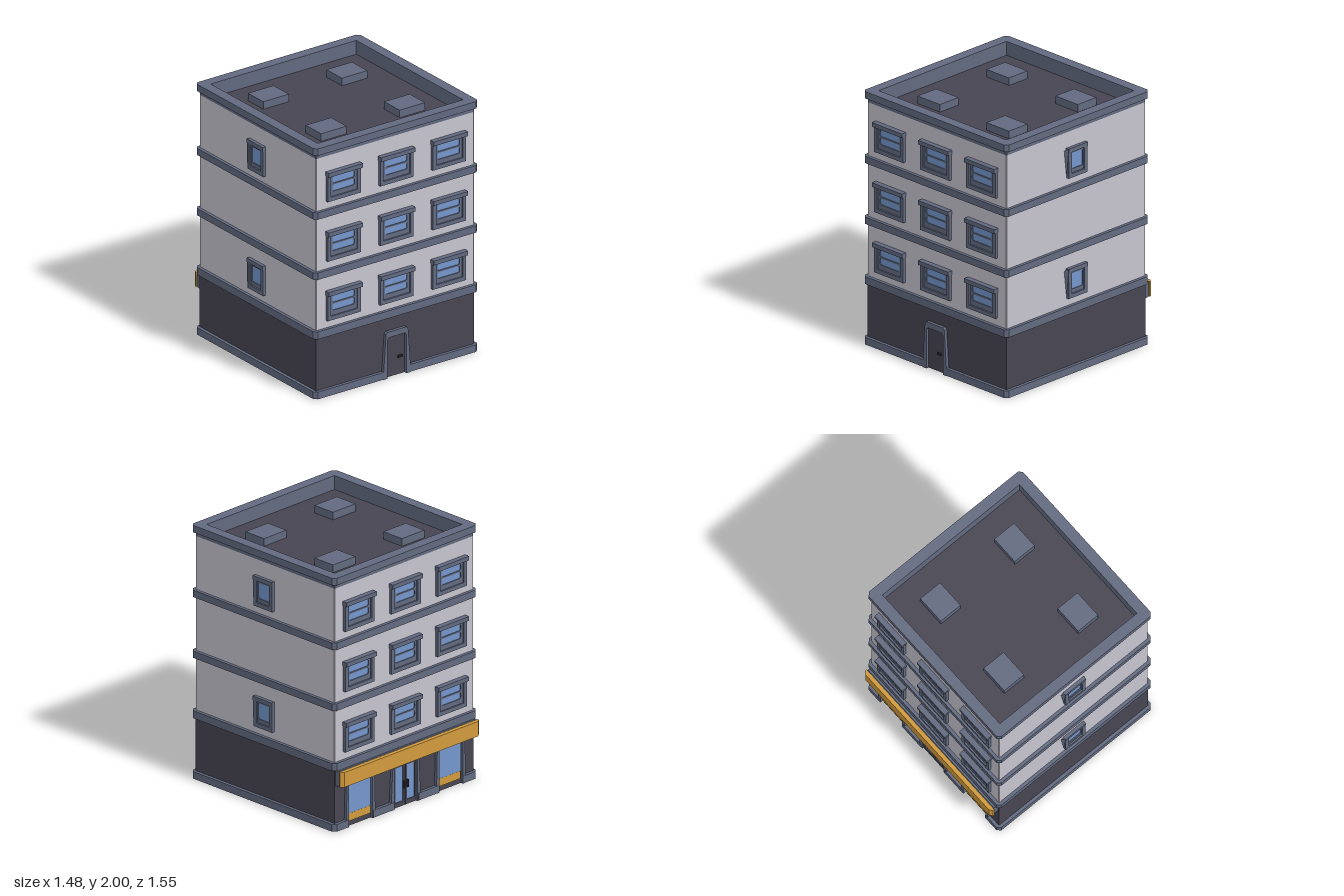
import * as THREE from 'three';

const material = (name, color) => {
  const m = new THREE.MeshStandardMaterial({ color });
  m.name = name;
  return m;
};

export function createModel() {
  const wall = material('pale wall', 0xc6c4ce);
  const dark = material('charcoal', 0x474551);
  const trim = material('slate trim', 0x626a80);
  const glass = material('blue glass', 0x7496cc);
  const amber = material('amber', 0xd09a3c);
  const ink = material('handle black', 0x2a2932);

  const HX = 0.715, HZ = 0.715, CZ = 0.015; // wall half sizes and centre
  const model = new THREE.Group();
  model.name = 'apartmentBuilding';

  const add = (parent, name, geo, mat, x = 0, y = 0, z = 0) => {
    const mesh = new THREE.Mesh(geo, mat);
    mesh.name = name;
    mesh.position.set(x, y, z);
    parent.add(mesh);
    return mesh;
  };
  // Box given by its ranges
  const box = (parent, name, mat, x0, x1, y0, y1, z0, z1) =>
    add(parent, name, new THREE.BoxGeometry(x1 - x0, y1 - y0, z1 - z0), mat,
      (x0 + x1) / 2, (y0 + y1) / 2, (z0 + z1) / 2);
  const polygon = (pts) => new THREE.Shape(pts.map(([x, y]) => new THREE.Vector2(x, y)));
  const extrude = (shape, depth) =>
    new THREE.ExtrudeGeometry(shape, { depth, bevelEnabled: false, curveSegments: 3 });
  const rect = (w, y0, y1) => polygon([[-w, y0], [w, y0], [w, y1], [-w, y1]]);
  const roundRect = (w, y0, y1, r) => {
    const s = new THREE.Shape();
    s.moveTo(-w + r, y0);
    s.lineTo(w - r, y0).quadraticCurveTo(w, y0, w, y0 + r);
    s.lineTo(w, y1 - r).quadraticCurveTo(w, y1, w - r, y1);
    s.lineTo(-w + r, y1).quadraticCurveTo(-w, y1, -w, y1 - r);
    s.lineTo(-w, y0 + r).quadraticCurveTo(-w, y0, -w + r, y0);
    return s;
  };

  // Plan outline with chamfered corners, notched for doorways on front and back
  const plan = (out, c, front = [], back = []) => {
    const x = HX + out, z = HZ + out, n = HZ - 0.005, pts = [[-x, -z + c], [-x + c, -z]];
    for (const [a, b] of front) pts.push([a, -z], [a, -n], [b, -n], [b, -z]);
    pts.push([x - c, -z], [x, -z + c], [x, z - c], [x - c, z]);
    for (const [a, b] of back) pts.push([b, z], [b, n], [a, n], [a, z]);
    pts.push([-x + c, z], [-x, z - c]);
    return polygon(pts);
  };
  const slab = (name, mat, shape, y0, y1, inset) => {
    if (inset) shape.holes.push(rect(HX - inset, -HZ + inset, HZ - inset));
    const geo = extrude(shape, y1 - y0).rotateX(-Math.PI / 2);
    return add(model, name, geo, mat, 0, y0, CZ);
  };

  // Main volumes, floor bands and parapet
  box(model, 'groundFloor', dark, -HX, HX, 0, 0.5, CZ - HZ, CZ + HZ);
  slab('upperWalls', wall, plan(0, 0.004), 0.5, 1.91, 0.025);
  slab('baseBand', trim, plan(0.025, 0.025, [[-0.09, 0.09]],
    [[0.34, 0.59], [-0.13, 0.13], [-0.59, -0.34]]), 0.003, 0.06);
  for (const [a, b] of [[0.48, 0.54], [0.955, 1.01], [1.435, 1.49]])
    slab('floorBand', trim, plan(0.025, 0.025), a, b, 0.01);
  slab('parapetLiner', trim, plan(-0.025, 0.004), 1.86, 1.91, 0.058);
  slab('parapetStrip', trim, plan(0.001, 0.004), 1.91, 1.945, 0.058);
  slab('parapetCap', trim, plan(0.025, 0.025), 1.945, 2, 0.058);
  slab('roofFloor', dark, plan(-0.03, 0.004), 1.86, 1.89);
  for (const x of [-0.355, 0.355])
    for (const z of [-0.345, 0.365])
      box(model, 'roofVent', trim, x - 0.115, x + 0.115, 1.88, 1.95, z - 0.095, z + 0.095);

  // Window facing +z, standing on its own lower edge
  const makeWindow = (half, panes, paneHalf) => {
    const g = new THREE.Group();
    g.name = 'window';
    const outer = rect(half, 0, 0.21);
    outer.holes.push(rect(half - 0.03, 0.032, 0.202));
    add(g, 'windowFrame', extrude(outer, 0.024), trim);
    const inner = rect(half - 0.03, 0.032, 0.202);
    for (const [a, b] of panes) inner.holes.push(roundRect(paneHalf, a, b, 0.016));
    add(g, 'sash', extrude(inner, 0.012), trim);
    box(g, 'windowGlass', glass, -paneHalf - 0.005, paneHalf + 0.005, 0.05, 0.195, 0, 0.005);
    return g;
  };
  const floors = [0.6, 1.075, 1.55];
  for (const y of floors)
    for (const x of [-0.475, 0, 0.475])
      for (const side of [1, -1]) {
        const w = makeWindow(0.15, [[0.07, 0.122], [0.133, 0.185]], 0.1);
        box(w, 'lintel', trim, -0.155, 0.155, 0.203, 0.236, 0, 0.042);
        w.position.set(x, y, CZ + side * HZ);
        if (side < 0) w.rotation.y = Math.PI;
        model.add(w);
      }

  // Side windows with one slanted cheek
  for (const y of [floors[0], floors[2]])
    for (const side of [1, -1]) {
      const w = makeWindow(0.095, [[0.062, 0.187]], 0.06);
      box(w, 'lintel', trim, -0.1, 0.097, 0.203, 0.236, 0, 0.027);
      const cheek = extrude(polygon([[-0.09, 0], [-0.09, 0.236], [-0.12, 0.215], [-0.095, 0]]), 0.025);
      const p = cheek.attributes.position;
      for (let i = 0; i < p.count; i++) if (p.getZ(i) > 0.01) p.setX(i, Math.max(p.getX(i), -0.1));
      cheek.computeVertexNormals();
      add(w, 'slantedCheek', cheek, trim);
      w.position.set(side * HX, y, CZ);
      w.rotation.y = side * Math.PI / 2;
      model.add(w);
    }

  // Door surround open at the ground, with legs that flare outwards
  const surround = (parent, top, foot, hole, h, holeH, depth, x = 0) =>
    add(parent, 'surround', extrude(polygon([
      [-foot, 0], [-foot, 0.05], [-top, h - 0.015], [-top + 0.015, h], [top - 0.015, h], [top, h - 0.015],
      [foot, 0.05], [foot, 0], [hole, 0], [hole, holeH - 0.015], [hole - 0.015, holeH],
      [-hole + 0.015, holeH], [-hole, holeH - 0.015], [-hole, 0]]), depth), trim, x);

  // Front door
  const entrance = new THREE.Group();
  entrance.name = 'frontEntrance';
  entrance.position.z = CZ + HZ;
  surround(entrance, 0.1, 0.122, 0.085, 0.37, 0.325, 0.025);
  box(entrance, 'doorLeaf', dark, -0.08, 0.08, 0.004, 0.315, 0, 0.006);
  box(entrance, 'doorHandle', ink, 0.018, 0.055, 0.138, 0.155, 0.006, 0.02);
  model.add(entrance);

  // Shop front on the back wall
  const shop = new THREE.Group();
  shop.name = 'shopFront';
  shop.position.z = CZ - HZ;
  shop.rotation.y = Math.PI;
  for (const s of [-1, 1]) {
    const x = s * 0.465;
    surround(shop, 0.142, 0.15, 0.122, 0.362, 0.345, 0.022, x);
    box(shop, 'displayGlass', glass, x - 0.112, x + 0.112, 0.1, 0.335, 0, 0.007);
    box(shop, 'displayStripe', amber, x - 0.112, x + 0.112, 0.04, 0.1, 0, 0.008);
    const d = s * 0.059;
    const leaf = polygon([[-0.056, 0.004], [0.056, 0.004], [0.056, 0.335], [-0.056, 0.335]]);
    leaf.holes.push(rect(0.04, 0.04, 0.315));
    add(shop, 'shopDoorLeaf', extrude(leaf, 0.012), dark, d);
    box(shop, 'shopDoorGlass', glass, d - 0.042, d + 0.042, 0.035, 0.32, 0, 0.006);
    const handle = box(shop, 'shopDoorHandle', ink, -0.005, 0.005, 0.14, 0.2, 0.012, 0.024);
    handle.position.x = s * 0.022;
  }
  surround(shop, 0.135, 0.152, 0.118, 0.362, 0.345, 0.022);

  // Sign canopy over the shop
  add(shop, 'canopyBody', extrude(polygon([[-0.01, 0.355], [0.04, 0.355], [0.055, 0.37],
    [0.055, 0.465], [0.04, 0.48], [-0.01, 0.48]]), 1.41).rotateY(-Math.PI / 2), trim, 0.705);
  add(shop, 'canopyFascia', extrude(polygon([[-0.715, -0.045], [-0.715, -0.057], [-0.69, -0.077],
    [0.69, -0.077], [0.715, -0.057], [0.715, -0.045]]), 0.117).rotateX(-Math.PI / 2), amber, 0, 0.36);
  model.add(shop);

  return model;
}
